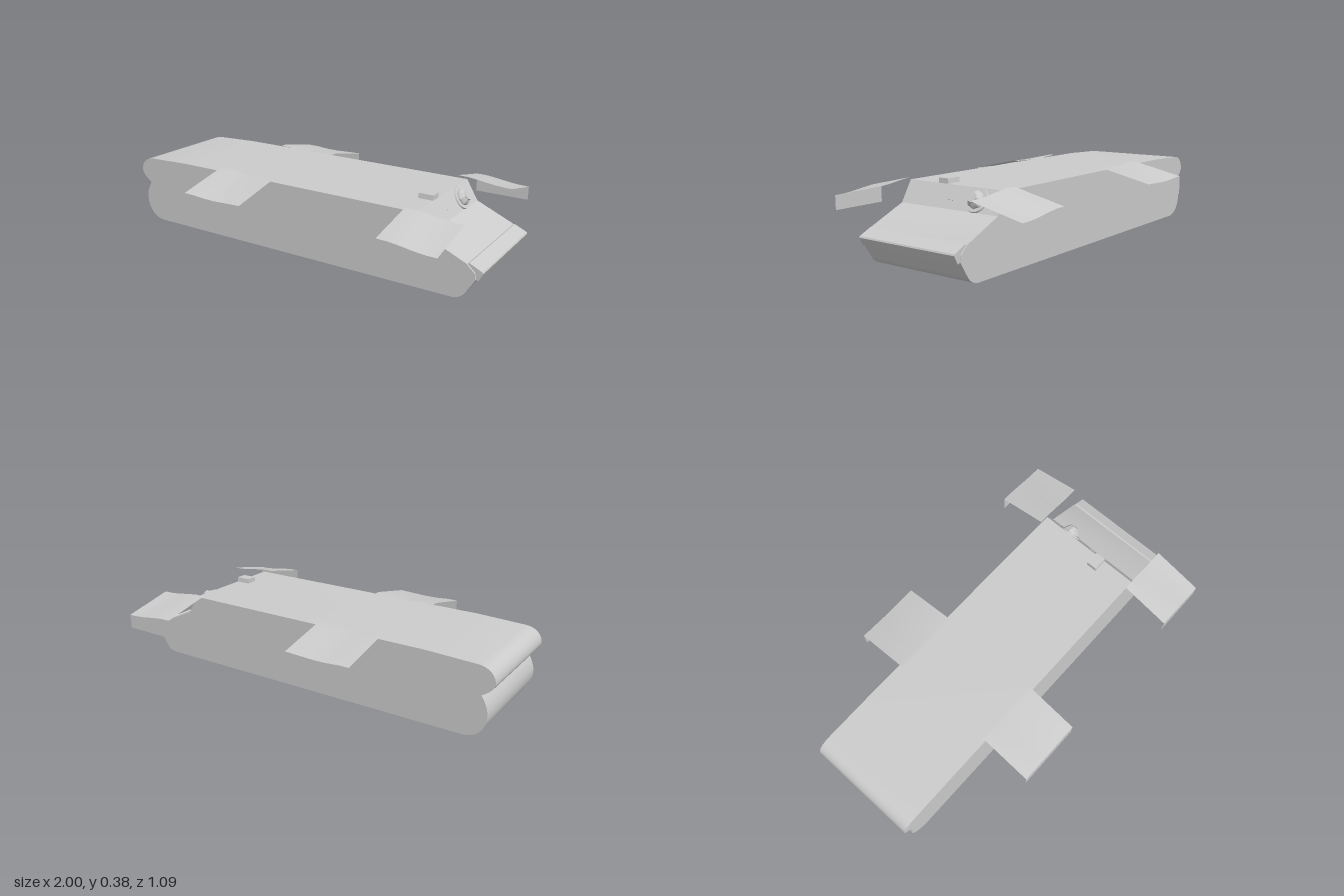
import * as THREE from 'three';
import { toCreasedNormals } from 'three/addons/utils/BufferGeometryUtils.js';

const mat = new THREE.MeshStandardMaterial({ color: 0xcccccc });
const sheetMat = new THREE.MeshStandardMaterial({ color: 0xcccccc, side: THREE.DoubleSide });

function add(parent, name, geometry, material = mat) {
  const mesh = new THREE.Mesh(geometry, material);
  mesh.name = name;
  parent.add(mesh);
  return mesh;
}

// Side profile in x,y swept across the width
function sweep(shape, z0, z1) {
  const g = new THREE.ExtrudeGeometry(shape, { depth: z1 - z0, bevelEnabled: false, curveSegments: 8 });
  g.translate(0, 0, z0);
  return toCreasedNormals(g, 0.5);
}

function hullShape() {
  const s = new THREE.Shape();
  s.moveTo(-0.87, 0);
  s.lineTo(0.87, 0);
  s.quadraticCurveTo(0.91, 0.005, 0.93, 0.04);
  s.lineTo(0.97, 0.105);
  s.lineTo(0.965, 0.135);
  s.lineTo(0.925, 0.172);
  s.lineTo(0.735, 0.255);
  s.lineTo(0.675, 0.355);
  s.lineTo(-0.67, 0.355);
  s.lineTo(-0.92, 0.346);
  s.bezierCurveTo(-0.97, 0.342, -1, 0.31, -1, 0.27);
  s.quadraticCurveTo(-0.995, 0.24, -0.94, 0.208);
  s.bezierCurveTo(-0.985, 0.15, -0.985, 0.08, -0.945, 0.035);
  s.quadraticCurveTo(-0.92, 0.005, -0.87, 0);
  return s;
}

// Thin mudguard: a bent section carried along x; stations are [x, height offset]
function fenderGeometry(section, stations, side) {
  const pos = [], index = [], n = section.length;
  for (const [x, dy] of stations)
    section.forEach(([z, y], j) => pos.push(x, j === n - 1 ? y : y + dy, z * side));
  for (let i = 0; i < stations.length - 1; i++)
    for (let j = 0; j < n - 1; j++) {
      const a = i * n + j, b = a + 1, c = a + n, d = c + 1;
      if (side > 0) index.push(a, b, d, a, d, c);
      else index.push(a, d, b, a, c, d);
    }
  const g = new THREE.BufferGeometry();
  g.setAttribute('position', new THREE.Float32BufferAttribute(pos, 3));
  g.setIndex(index);
  return toCreasedNormals(g, 0.4);
}

export function createModel() {
  const model = new THREE.Group();
  model.name = 'armouredHull';

  add(model, 'hull', sweep(hullShape(), -0.285, 0.285));

  // Folded plate on the nose
  const plate = new THREE.Shape([[0.92, 0.166], [0.935, 0.174], [0.997, 0.145], [1, 0.138], [0.98, 0.1], [0.95, 0.115]]
    .map(([x, y]) => new THREE.Vector2(x, y)));
  add(model, 'nosePlate', sweep(plate, -0.28, 0.277));

  // Mudguards, mirrored on both flanks
  const slope = [[0.285, 0.366], [0.545, 0.308], [0.545, 0.215]];
  const rearStations = [[-0.44, 0.001], [-0.38, 0], [-0.32, -0.005], [-0.25, -0.006], [-0.18, -0.003], [-0.1, 0]];
  const frontStations = [[0.625, 0.001], [0.68, 0], [0.74, -0.007], [0.81, -0.017], [0.86, -0.021], [0.905, -0.022]];
  for (const side of [1, -1]) {
    const label = side > 0 ? 'Near' : 'Far';
    add(model, 'rearFender' + label, fenderGeometry([[0.255, 0.366], ...slope], rearStations, side), sheetMat);
    add(model, 'frontFender' + label, fenderGeometry(slope, frontStations, side), sheetMat);
  }

  // Tapered periscope on the roof edge
  const scope = new THREE.Shape([[0.047, 0.35], [0.108, 0.35], [0.104, 0.379], [0.051, 0.379]]
    .map(([z, y]) => new THREE.Vector2(-z, y)));
  const scopeGeometry = new THREE.ExtrudeGeometry(scope, { depth: 0.075, bevelEnabled: false });
  scopeGeometry.rotateY(Math.PI / 2).translate(0.6, 0, 0);
  add(model, 'periscope', scopeGeometry);

  // Fittings on the sloping upper wall; local y points out of the wall
  const tilt = -Math.atan2(0.1, 0.06);
  const mount = new THREE.Group();
  mount.name = 'gunMount';
  mount.position.set(0.705, 0.303, -0.147);
  mount.rotation.z = tilt;
  model.add(mount);
  add(mount, 'mountRing', toCreasedNormals(new THREE.CylinderGeometry(0.057, 0.061, 0.016, 24), 0.5));
  const ball = [[0.044, 0], [0.042, 0.016], [0.036, 0.026], [0.026, 0.036], [0.024, 0.042], [0, 0.042]]
    .map(([r, y]) => new THREE.Vector2(r, y));
  add(mount, 'mountBall', toCreasedNormals(new THREE.LatheGeometry(ball, 8), 0.3));

  const visor = new THREE.Group();
  visor.name = 'visor';
  visor.position.set(0.705, 0.29, 0.003);
  visor.rotation.z = tilt;
  model.add(visor);
  const flap = new THREE.CylinderGeometry(0.4, Math.SQRT1_2, 0.012, 4);
  flap.rotateY(Math.PI / 4).scale(0.054, 1, 0.094);
  add(visor, 'visorFlap', toCreasedNormals(flap, 0.1));
  add(visor, 'visorSlit', new THREE.BoxGeometry(0.006, 0.008, 0.04)).position.y = 0.006;

  return model;
}
